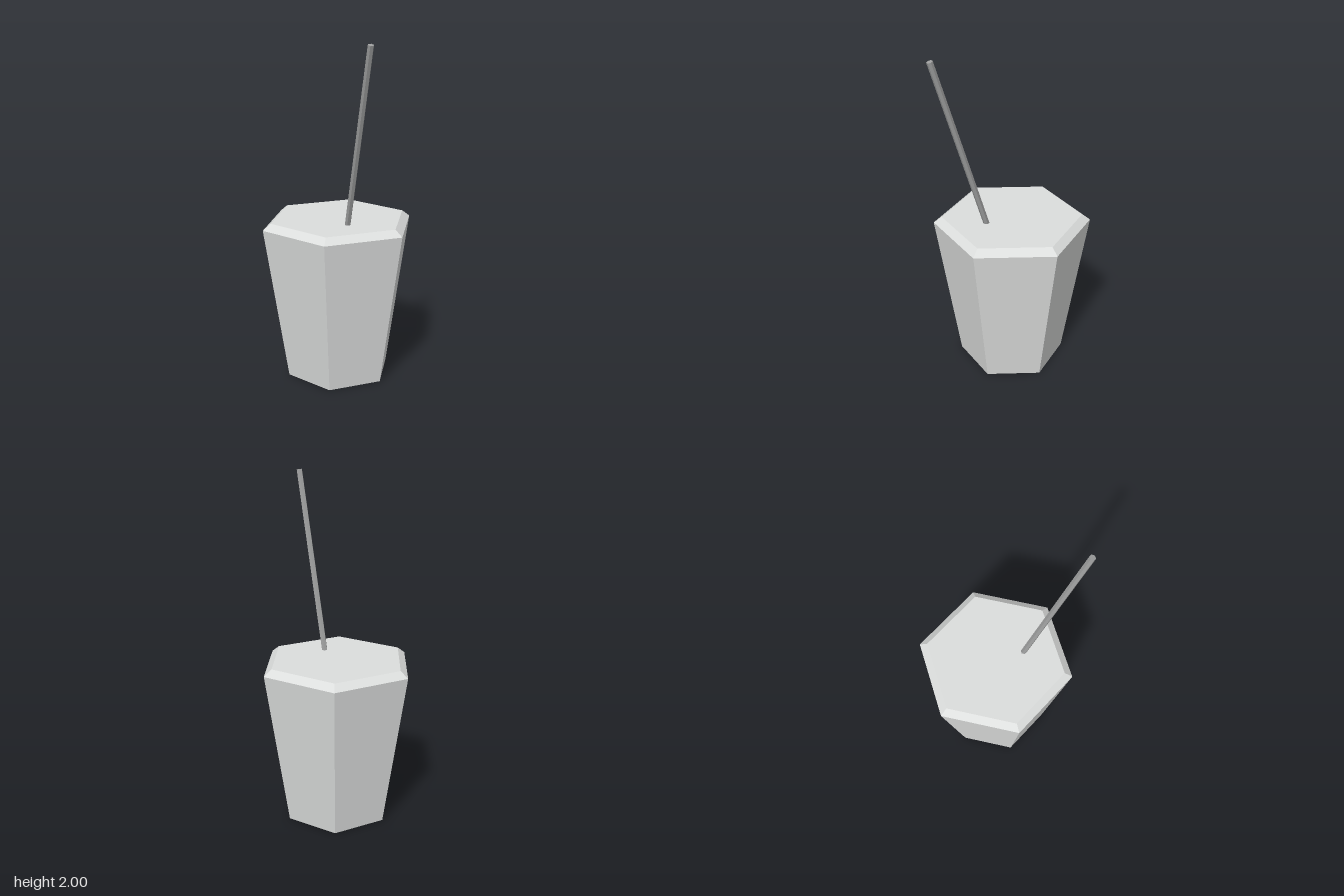
import * as THREE from 'three';

export function createModel() {
  const group = new THREE.Group();
  const cupGrey = new THREE.MeshStandardMaterial({ color: 0xdcdedd, flatShading: true });
  cupGrey.name = 'light grey';
  const strawGrey = new THREE.MeshStandardMaterial({ color: 0x9d9e9e, flatShading: true });
  strawGrey.name = 'straw grey';

  const CUP_Z = -0.053, RIM_Y = 0.93, LID_Y = 0.967;

  // Six-sided frustum with corners on the x axis, standing between two heights
  const hexFrustum = (name, topR, bottomR, y0, y1, open) => {
    const geo = new THREE.CylinderGeometry(topR, bottomR, y1 - y0, 6, 1, open);
    geo.rotateY(Math.PI / 6);
    const mesh = new THREE.Mesh(geo, cupGrey);
    mesh.name = name;
    mesh.position.set(0, (y0 + y1) / 2, CUP_Z);
    group.add(mesh);
    return mesh;
  };

  // Tapered cup body: open at the top, closed by a hexagonal base
  hexFrustum('cupBody', 0.463, 0.32, 0, RIM_Y, true);
  const base = new THREE.Mesh(new THREE.CircleGeometry(0.32, 6), cupGrey);
  base.name = 'cupBase';
  base.rotation.x = Math.PI / 2;
  base.position.set(0, 0, CUP_Z);
  group.add(base);

  // Bevelled lid
  hexFrustum('lid', 0.415, 0.463, RIM_Y, LID_Y, false);

  // Straw leaning forward out of the lid
  const start = new THREE.Vector3(-0.008, 0.955, 0.116);
  const end = new THREE.Vector3(-0.008, 1.996, 0.438);
  const dir = end.clone().sub(start);
  const strawGeo = new THREE.CylinderGeometry(0.0175, 0.0175, dir.length(), 6);
  strawGeo.rotateY(Math.PI / 6);
  const straw = new THREE.Mesh(strawGeo, strawGrey);
  straw.name = 'straw';
  straw.position.copy(start).add(end).multiplyScalar(0.5);
  straw.rotation.x = Math.atan2(dir.z, dir.y);
  group.add(straw);

  return group;
}
